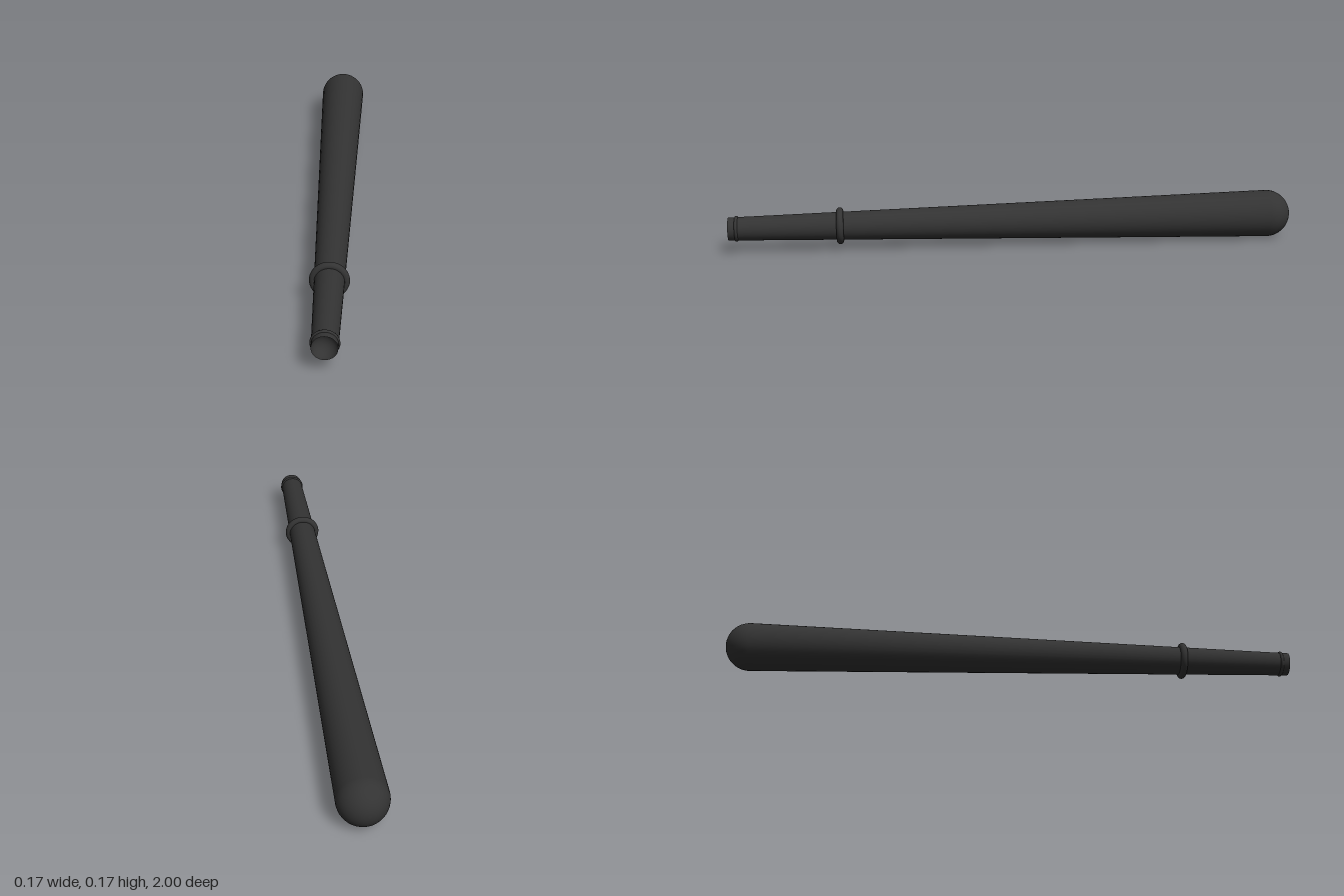
import * as THREE from 'three';

const AXIS_Y = 0.084;   // height of the club's centre line
const BARREL_R = 0.084; // radius at the thick end
const BUTT_R = 0.04;    // radius at the handle end
const SEGMENTS = 32;

export function createModel() {
  const group = new THREE.Group();
  group.name = 'club';
  const material = new THREE.MeshStandardMaterial({ color: 0x333333 });
  const openMaterial = new THREE.MeshStandardMaterial({ color: 0x333333, side: THREE.DoubleSide });

  const add = (name, geometry, z, mat = material) => {
    const mesh = new THREE.Mesh(geometry, mat);
    mesh.name = name;
    mesh.position.set(0, AXIS_Y, z);
    group.add(mesh);
  };

  // Half sphere bulging towards -z
  const dome = (r) => new THREE.SphereGeometry(r, SEGMENTS, 16, 0, Math.PI * 2, 0, Math.PI / 2)
    .rotateX(-Math.PI / 2);

  // Tapered shaft, thick at the back, open at both ends
  const back = -1 + BARREL_R;
  const length = 1 - back;
  add('shaft', new THREE.CylinderGeometry(BUTT_R, BARREL_R, length, SEGMENTS, 1, true)
    .rotateX(Math.PI / 2), back + length / 2, openMaterial);

  // Rounded tip, and the hollow in the handle end
  add('tip', dome(BARREL_R), back);
  add('buttHollow', dome(BUTT_R), 1, openMaterial);

  // Guard ring above the grip and thin ring near the butt
  add('guardRing', new THREE.TorusGeometry(0.052, 0.0125, 16, 48), 0.615);
  add('buttRing', new THREE.TorusGeometry(0.039, 0.006, 12, 48), 0.972);

  return group;
}
